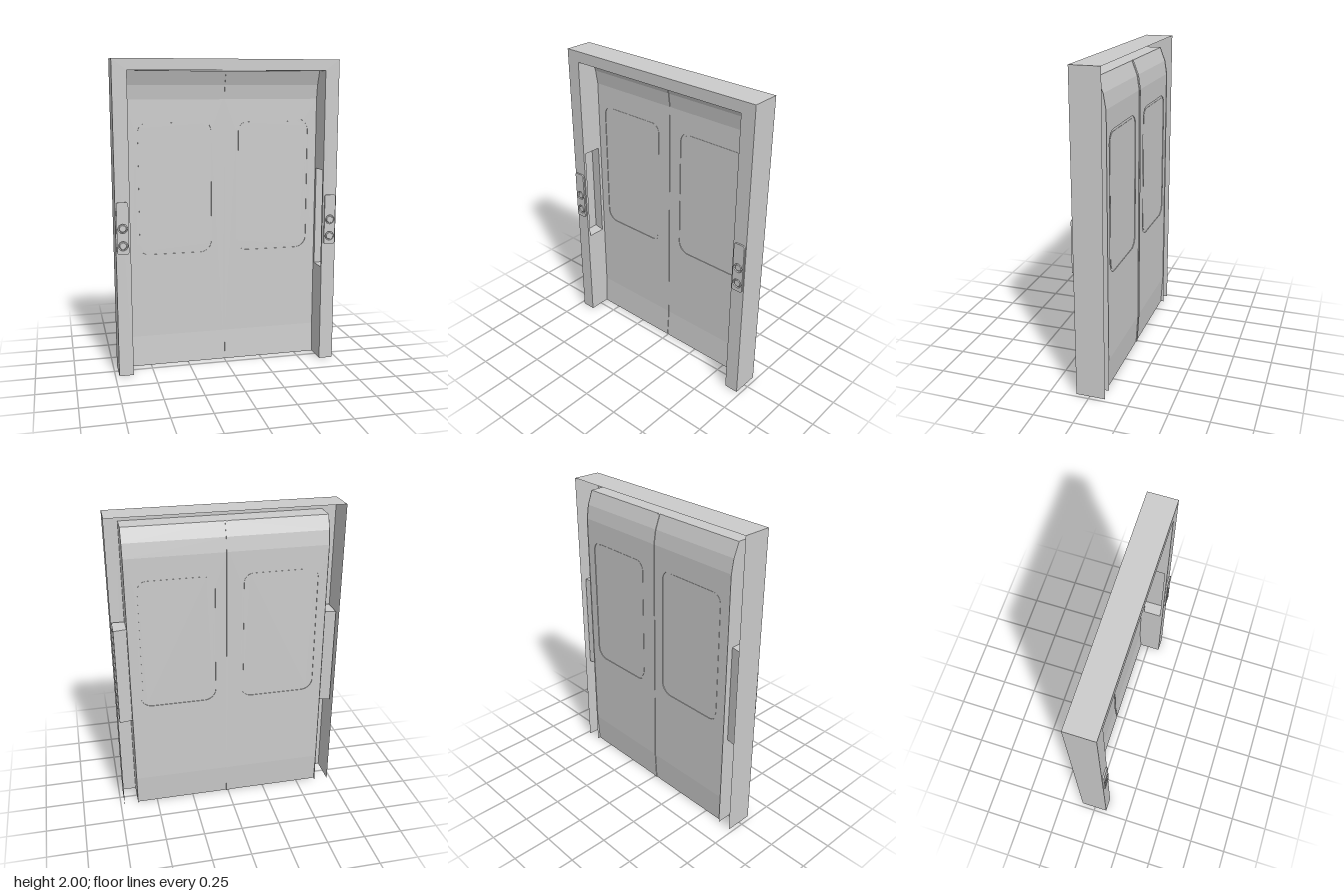
import * as THREE from 'three';

const grey = new THREE.MeshStandardMaterial({ color: 0xcccccc });
const sheet = new THREE.MeshStandardMaterial({ color: 0xcccccc, side: THREE.DoubleSide });

const W = 0.725, H = 2, JAMB = 0.633, LINTEL = 1.93; // frame outline and opening
const FRONT = 0.087, BACK = -0.0975;                 // frame depth
const LEAF_F = -0.072, LEAF_B = -0.085;              // flat part of the door leaves

function add(parent, name, geometry, material = grey) {
  const mesh = new THREE.Mesh(geometry, material);
  mesh.name = name;
  parent.add(mesh);
  return mesh;
}

// Flat-shaded sheet spanning two matching rails of [x, y, z] points
function ribbon(a, b) {
  const p = [];
  for (let i = 0; i < a.length - 1; i++) {
    p.push(...a[i], ...b[i], ...b[i + 1], ...a[i], ...b[i + 1], ...a[i + 1]);
  }
  const g = new THREE.BufferGeometry();
  g.setAttribute('position', new THREE.Float32BufferAttribute(p, 3));
  g.computeVertexNormals();
  return g;
}

const polygon = (pts) => new THREE.Shape(pts.map(([x, y]) => new THREE.Vector2(x, y)));

// Rounded rectangle outline, usable as a shape or a hole
function roundRect(x0, y0, x1, y1, r) {
  const s = new THREE.Shape();
  s.absarc(x1 - r, y0 + r, r, -Math.PI / 2, 0);
  s.absarc(x1 - r, y1 - r, r, 0, Math.PI / 2);
  s.absarc(x0 + r, y1 - r, r, Math.PI / 2, Math.PI);
  s.absarc(x0 + r, y0 + r, r, Math.PI, Math.PI * 1.5);
  s.closePath();
  return s;
}

// Extrude a front outline between two z values
function slab(shape, z0, z1) {
  return new THREE.ExtrudeGeometry(shape, { depth: z1 - z0, bevelEnabled: false, curveSegments: 8 })
    .translate(0, 0, z0);
}

// Extrude a (z, y) profile between two x values
function band(profile, x0, x1) {
  return new THREE.ExtrudeGeometry(polygon(profile), { depth: x1 - x0, bevelEnabled: false })
    .rotateY(-Math.PI / 2).translate(x1, 0, 0);
}

function doorLeaf() {
  const leaf = new THREE.Group();
  const x0 = 0.006, x1 = JAMB;
  const win = (inset) => roundRect(0.083 + inset, 0.752 + inset, 0.573 - inset, 1.62 - inset, 0.075 - inset);

  // flat middle with a window opening
  const plate = polygon([[x0, 0.2], [x1, 0.2], [x1, 1.75], [x0, 1.75]]);
  plate.holes.push(win(0));
  add(leaf, 'leafPanel', slab(plate, LEAF_B, LEAF_F));

  // recessed seal around a nearly flush pane
  const seal = win(0);
  seal.holes.push(win(0.016));
  add(leaf, 'windowSeal', slab(seal, LEAF_B + 0.004, LEAF_F - 0.004));
  add(leaf, 'windowPane', slab(win(0.016), LEAF_B + 0.002, LEAF_F - 0.002));

  // top curving forward, foot kicking forward
  add(leaf, 'leafTop', band([
    [LEAF_F, 1.75], [-0.058, 1.84], [-0.025, 1.928], [-0.038, 1.928], [-0.071, 1.84], [LEAF_B, 1.75],
  ], x0, x1));
  add(leaf, 'leafFoot', band([
    [-0.06, 0], [LEAF_F, 0.2], [LEAF_B, 0.2], [-0.073, 0],
  ], x0, x1));
  return leaf;
}

function sidePost() {
  const post = new THREE.Group();

  // jamb following the door's curve, with a grip pocket cut in
  const y0 = 0.64, y1 = 1.29, zf = 0.07, zb = -0.05;
  const jamb = polygon([
    [FRONT, 0], [FRONT, LINTEL], [-0.04, LINTEL], [-0.075, 1.84], [-0.09, 1.75], [-0.093, 0],
  ]);
  jamb.holes.push(polygon([[zb, y0], [zb, y1], [zf, y1], [zf, y0]]));
  add(post, 'jamb', new THREE.ShapeGeometry(jamb).rotateY(-Math.PI / 2).translate(JAMB, 0, 0), sheet);

  const section = [[JAMB, zf], [0.715, zf], [0.715, -0.065], [JAMB, zb]];
  const rail = (y) => section.map(([x, z]) => [x, y, z]);
  add(post, 'pocketWalls', ribbon(rail(y0), rail(y1)), sheet);
  for (const y of [y0, y1]) {
    const r = rail(y);
    add(post, 'pocketEnd', ribbon([r[0], r[1]], [r[3], r[2]]), sheet);
  }

  // control plate with two round buttons set in holes
  const px = 0.681, buttons = [0.855, 0.965];
  const plate = roundRect(px - 0.037, 0.8, px + 0.037, 1.13, 0.014);
  for (const y of buttons) {
    plate.holes.push(new THREE.Path().absarc(px, y, 0.03, 0, Math.PI * 2));
  }
  add(post, 'controlPlate', slab(plate, FRONT, 0.0975));
  for (const y of buttons) {
    add(post, 'button', new THREE.CylinderGeometry(0.02, 0.024, 0.009, 24).rotateX(Math.PI / 2))
      .position.set(px, y, FRONT + 0.0045);
  }
  return post;
}

export function createModel() {
  const model = new THREE.Group();
  model.name = 'doorway';

  // hollow frame, open at the back and underneath
  const face = polygon([
    [-W, 0], [-JAMB, 0], [-JAMB, LINTEL], [JAMB, LINTEL], [JAMB, 0], [W, 0], [W, H], [-W, H],
  ]);
  add(model, 'frameFace', new THREE.ShapeGeometry(face).translate(0, 0, FRONT), sheet);
  const outline = (z) => [[-W, 0, z], [-W, H, z], [W, H, z], [W, 0, z]];
  add(model, 'frameOuterWalls', ribbon(outline(FRONT), outline(BACK)), sheet);
  const soffit = (z) => [[-JAMB, LINTEL, z], [JAMB, LINTEL, z]];
  add(model, 'lintel', ribbon(soffit(FRONT), soffit(-0.04)), sheet);

  // mirrored halves
  for (const side of [1, -1]) {
    const name = side > 0 ? 'left' : 'right';
    const leaf = doorLeaf();
    leaf.name = name + 'DoorLeaf';
    const post = sidePost();
    post.name = name + 'Post';
    for (const part of [leaf, post]) {
      part.scale.x = side;
      model.add(part);
    }
  }

  // rubber strip in the joint between the leaves
  add(model, 'centreSeal', band([
    [-0.064, 0], [-0.076, 0.2], [-0.076, 1.75], [-0.062, 1.84], [-0.029, 1.926],
    [-0.042, 1.926], [-0.075, 1.84], [-0.089, 1.75], [-0.089, 0.2], [-0.077, 0],
  ], -0.012, 0.012));

  return model;
}
